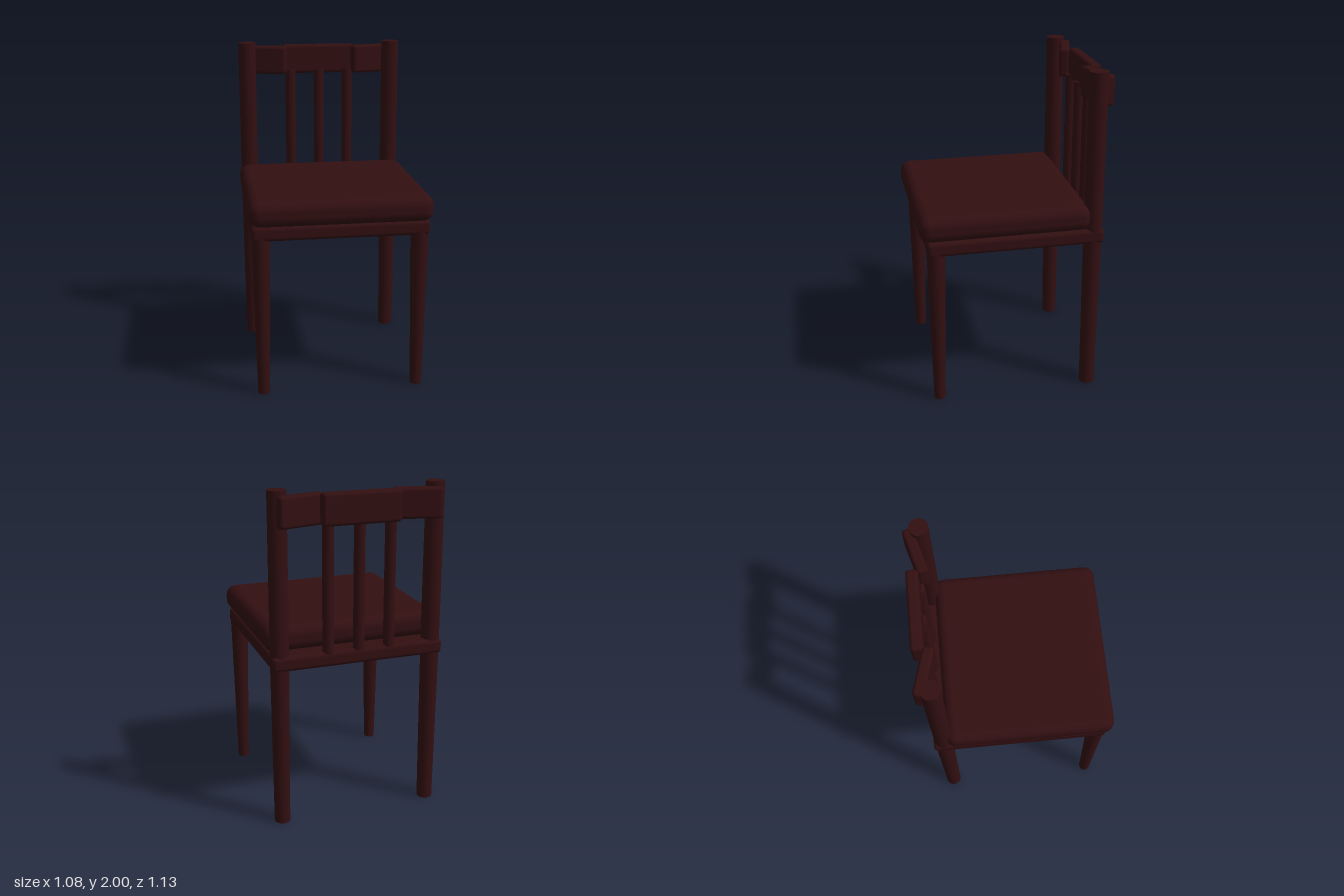
import * as THREE from 'three';
import { RoundedBoxGeometry } from 'three/addons/geometries/RoundedBoxGeometry.js';

export function createModel() {
  const chair = new THREE.Group();
  chair.name = 'chair';
  const wood = new THREE.MeshStandardMaterial({ color: 0x320f11 });
  wood.name = 'dark mahogany';

  const add = (name, geometry, x, y, z) => {
    const mesh = new THREE.Mesh(geometry, wood);
    mesh.name = name;
    mesh.position.set(x, y, z);
    chair.add(mesh);
    return mesh;
  };
  const box = (name, w, h, d, r, x, y, z) =>
    add(name, new RoundedBoxGeometry(w, h, d, 5, r), x, y, z);
  // Upright round bar between heights y0 and y1
  const bar = (name, r0, r1, y0, y1, x, z) =>
    add(name, new THREE.CylinderGeometry(r1, r0, y1 - y0, 32), x, (y0 + y1) / 2, z);

  // Seat: frame and thick rounded cushion
  box('seatFrame', 1.05, 0.09, 1.055, 0.025, 0, 1.015, -0.003);
  box('seatCushion', 1.08, 0.155, 1.013, 0.062, 0, 1.135, 0.0585);

  // Legs, back posts and angled ends of the top rail
  for (const [side, s] of [['left', 1], ['right', -1]]) {
    bar(side + 'FrontLeg', 0.035, 0.055, 0, 1.0, s * 0.47, 0.47);
    bar(side + 'BackLeg', 0.047, 0.055, 0, 1.0, s * 0.47, -0.47);
    bar(side + 'BackPost', 0.055, 0.055, 1.0, 2, s * 0.47, -0.47);
    const end = box(side + 'RailEnd', 0.28, 0.18, 0.065, 0.02, s * 0.35, 1.885, -0.5);
    end.rotation.y = s * 0.27;
  }

  // Middle of the top rail
  box('topRail', 0.47, 0.185, 0.07, 0.02, 0, 1.886, -0.525);

  // Back spindles
  for (const x of [-0.188, 0, 0.188]) bar('backSpindle', 0.033, 0.033, 1.05, 1.82, x, -0.5);

  return chair;
}
